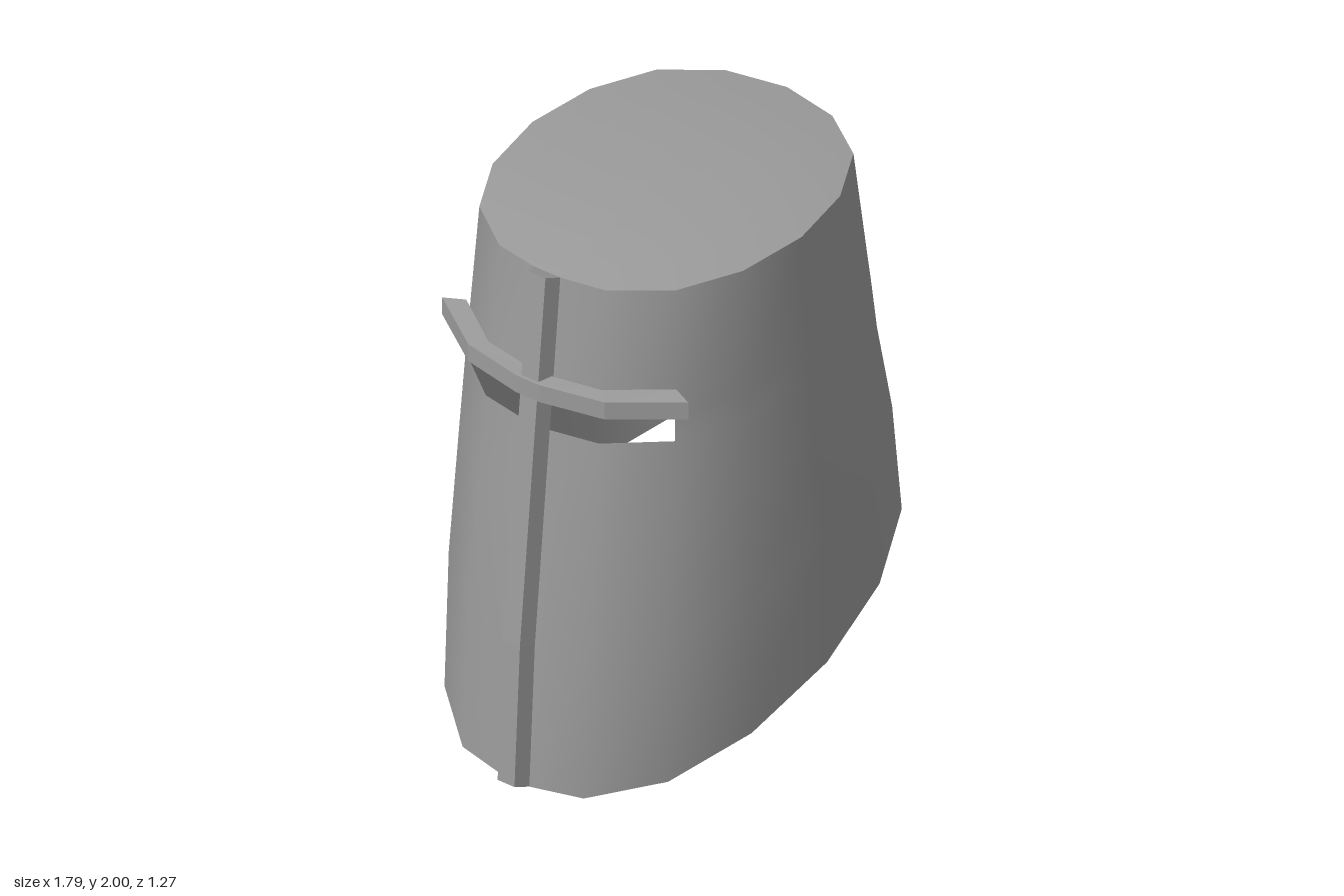
import * as THREE from 'three';

const lerp = THREE.MathUtils.lerp;

// Skin a list of equal-length point rows; skip(i, j) leaves a hole.
function skin(name, rows, flat = false, skip = () => false) {
  const n = rows[0].length, index = [];
  for (let i = 0; i < rows.length - 1; i++) {
    for (let j = 0; j < n - 1; j++) {
      if (skip(i, j)) continue;
      const a = i * n + j, b = a + 1, c = b + n, d = a + n;
      index.push(a, b, c, a, c, d);
    }
  }
  const geometry = new THREE.BufferGeometry();
  geometry.setAttribute('position', new THREE.Float32BufferAttribute(rows.flat(2), 3));
  geometry.setIndex(index);
  geometry.computeVertexNormals();
  const material = new THREE.MeshStandardMaterial({
    color: 0x9b9b9b, flatShading: flat, side: THREE.DoubleSide,
  });
  const mesh = new THREE.Mesh(geometry, material);
  mesh.name = name;
  return mesh;
}

// Oval outline, from the face (-x) round to the nape (+x): [along, across]
const outline = [[-1, 0], [-0.955, 0.395], [-0.745, 0.73], [-0.41, 0.93], [0, 1],
  [0.4, 0.93], [0.735, 0.73], [0.935, 0.395], [1, 0]];
const mirrored = outline.slice(0, -1).reverse().map(([u, v]) => [u, -v]);
const columns = [...outline, ...mirrored];

// Levels: face height, nape height, face x, nape x, half width
const levels = [
  [0.00, 0.53, -0.84, 0.893, 0.635],
  [0.55, 0.95, -0.81, 0.833, 0.63],
  [1.05, 1.27, -0.76, 0.755, 0.607],
  [1.37, 1.45, -0.728, 0.726, 0.594],
  [1.465, 1.55, -0.718, 0.71, 0.588],
  [1.95, 1.97, -0.67, 0.647, 0.558],
];
const ridgeHalf = 0.055;

function ring([yFace, yNape, xFace, xNape, half]) {
  return columns.map(([u, v], j) => {
    const t = (u + 1) / 2;
    const z = j === 0 ? ridgeHalf : j === columns.length - 1 ? -ridgeHalf : v * half;
    return [lerp(xFace, xNape, t), lerp(yFace, yNape, t), z];
  });
}

export function createModel() {
  const group = new THREE.Group();
  group.name = 'helmet';

  // Shell with an eye slit either side of the ridge
  const rings = levels.map(ring);
  const last = columns.length - 2;
  group.add(skin('shell', rings, false,
    (i, j) => i === 3 && (j < 2 || j > last - 2)));

  // Shallow domed crown
  const rim = rings[rings.length - 1];
  const closedRim = [...rim, rim[0]];
  const crown = [1, 0.8, 0.55, 0.28, 0].map((r) => closedRim.map(([x, y, z]) =>
    [lerp(-0.0125, x, r), lerp(1.96, y, r) + 0.04 * (1 - r ** 2.5), z * r]));
  group.add(skin('crown', crown));

  // Hollow ridge down the middle of the face, capped at both ends
  const ridge = levels.map(([y, , x]) => [
    [x, y, -ridgeHalf], [x - 0.055, y + 0.02, -0.035],
    [x - 0.055, y + 0.02, 0.035], [x, y, ridgeHalf],
  ]);
  group.add(skin('faceRidge', ridge, true));
  const top = ridge[ridge.length - 1], foot = ridge[0];
  group.add(skin('ridgeTop', [[top[1], top[2]], [top[0], top[3]]], true));
  group.add(skin('ridgeFoot', [[foot[0], foot[3]], [foot[1], foot[2]]], true));

  // Brow bar over the slits: [inner x, inner z, outer x, outer z]
  const half = [[-0.537, 0.435, -0.57, 0.51], [-0.68, 0.235, -0.728, 0.283],
    [-0.715, 0.045, -0.775, 0.05]];
  const stations = [...half,
    ...half.slice().reverse().map(([a, b, c, d]) => [a, -b, c, -d])];
  const sections = stations.map(([xi, zi, xo, zo]) => {
    const rise = 0.05 * (xi + 0.715);
    return [[xi, 1.465, zi], [xi, 1.577, zi], [xo, 1.573, zo], [xo, 1.505, zo],
      [xi, 1.465, zi]].map(([x, y, z]) => [x, y + rise, z]);
  });
  group.add(skin('browBar', sections, true));
  [sections[0], sections[sections.length - 1]].forEach((s, k) => {
    const cap = [[s[0], s[1]], [s[3], s[2]]];
    group.add(skin(k ? 'browBarRightEnd' : 'browBarLeftEnd', k ? cap.reverse() : cap, true));
  });

  return group;
}
